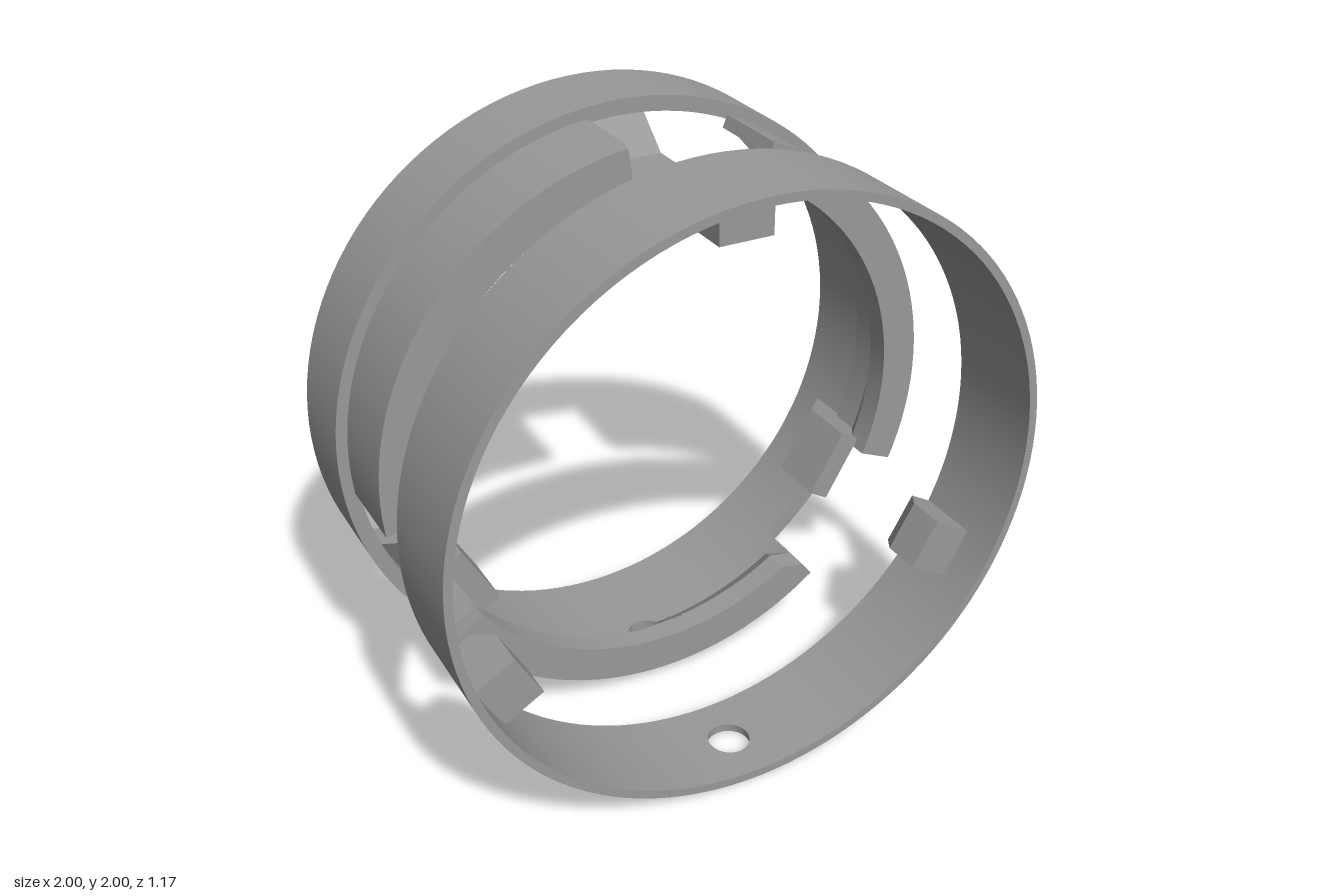
import * as THREE from 'three';
import { toCreasedNormals } from 'three/addons/utils/BufferGeometryUtils.js';

const CENTRE_Y = 1;
const rad = THREE.MathUtils.degToRad;
const material = new THREE.MeshStandardMaterial({ color: 0x999999 });

// Point on the ring from angle, radius and depth
const polar = (a, r, z) => [r * Math.cos(a), r * Math.sin(a), z];

// Skin a list of closed cross-sections, either looped or capped at both ends
function loft(sections, looped) {
  const m = sections[0].length, n = sections.length, index = [];
  for (let i = 0; i < (looped ? n : n - 1); i++) {
    const a = i * m, b = ((i + 1) % n) * m;
    for (let j = 0; j < m; j++) {
      const k = (j + 1) % m;
      index.push(a + j, b + j, a + k, b + j, b + k, a + k);
    }
  }
  if (!looped) {
    const e = (n - 1) * m;
    for (let j = 1; j < m - 1; j++) index.push(0, j, j + 1, e, e + j + 1, e + j);
  }
  const geo = new THREE.BufferGeometry();
  geo.setAttribute('position', new THREE.Float32BufferAttribute(sections.flat(2), 3));
  geo.setIndex(index);
  return toCreasedNormals(geo, 0.4);
}

// Sweep a [z, r] profile from angle a0 to a1, optionally chamfering the inner edge at a1
function sweep(profile, a0, a1, chamfer = 0) {
  const steps = Math.max(2, Math.ceil((a1 - chamfer - a0) / rad(3)));
  const rows = [];
  for (let i = 0; i <= steps; i++) {
    const a = a0 + (a1 - chamfer - a0) * i / steps;
    rows.push(profile.map(([z, r]) => polar(a, r, z)));
  }
  if (chamfer) rows.push(profile.map(([z, r]) => polar(a1, Math.max(r, 0.9), z)));
  return loft(rows, false);
}

// Curved wall patch with a round radial hole through it
function holePatch(a0, half, z0, z1, zc, holeR, outerR, innerR) {
  const rows = [], segs = 64, n = 20;
  for (let i = 0; i < segs; i++) {
    const t = i / segs * Math.PI * 2, c = Math.cos(t), s = Math.sin(t);
    const m = Math.max(Math.abs(c), Math.abs(s));
    const edgeA = c / m * half, edgeZ = s / m * (s > 0 ? z1 - zc : zc - z0);
    const inner = [], outer = [];
    for (let v = 0; v <= n; v++) {
      const f = v / n;
      const a = a0 + THREE.MathUtils.lerp(c * holeR, edgeA, f);
      const z = zc + THREE.MathUtils.lerp(s * holeR, edgeZ, f);
      inner.push(polar(a, innerR(z), z));
      outer.unshift(polar(a, outerR, z));
    }
    rows.push([...inner, ...outer]);
  }
  return loft(rows, true);
}

// Block with a [z, r] side outline, spanning x0 to x1 at the top of the ring
function block(outline, x0, x1) {
  const shape = new THREE.Shape(outline.map(([z, r]) => new THREE.Vector2(z, r)));
  const geo = new THREE.ExtrudeGeometry(shape, { depth: x1 - x0, bevelEnabled: false });
  geo.applyMatrix4(new THREE.Matrix4().makeBasis(
    new THREE.Vector3(0, 0, 1), new THREE.Vector3(0, 1, 0), new THREE.Vector3(-1, 0, 0)));
  return geo.translate(x1, 0, 0);
}

const ringProfile = (z0, z1, inner) => [[z1, 1], [z1, inner], [z0, inner], [z0, 1]];

export function createModel() {
  const model = new THREE.Group();
  const front = new THREE.Group(), back = new THREE.Group();
  front.name = 'frontRing';
  back.name = 'backRing';
  front.position.y = back.position.y = CENTRE_Y;
  model.add(front, back);
  const add = (parent, name, geo, turn = 0) => {
    const mesh = new THREE.Mesh(geo, material);
    mesh.name = name;
    mesh.rotation.z = turn;
    parent.add(mesh);
  };
  const down = -Math.PI / 2, half = 0.12;

  // Front ring with a radial hole at the bottom
  add(front, 'frontBand', sweep(ringProfile(0.235, 0.585, 0.972), down + half, down + Math.PI * 2 - half));
  add(front, 'frontBandHole', holePatch(down, half, 0.235, 0.585, 0.41, 0.07, 1, () => 0.972));

  // Back ring
  add(back, 'backBand', sweep(ringProfile(-0.585, -0.3, 0.95), 0, Math.PI * 2));

  // Collar section: thick lip at the front, sloping to a thinner rear
  const collar = [[-0.018, 0.963], [-0.018, 0.84], [-0.1, 0.84], [-0.2, 0.92], [-0.3, 0.92], [-0.3, 0.963]];
  const collarInner = z => 0.84 + 0.08 * THREE.MathUtils.clamp((-0.1 - z) / 0.1, 0, 1);
  const start = rad(-22.6), end = rad(67.4), chamfer = rad(4);

  // Cranked catch: flat tongue at the front, sloping out to the back ring's wall
  const catchOutline = [[-0.5, 0.97], [-0.27, 0.755], [-0.07, 0.755], [-0.07, 0.83], [-0.24, 0.83], [-0.4, 0.97]];
  // Cheek joins the catch to the end of the collar arc
  const cheekOutline = [[-0.48, 0.95], [-0.27, 0.755], [-0.07, 0.755], [-0.07, 0.95]];
  // Lug with a chamfered rear edge
  const lugOutline = [[0.24, 0.98], [0.24, 0.88], [0.32, 0.82], [0.45, 0.82], [0.45, 0.98]];

  for (let i = 0; i < 3; i++) {
    const turn = -i * Math.PI * 2 / 3;
    add(front, 'lug', block(lugOutline, -0.09, 0.085), turn);
    add(back, 'catch', block(catchOutline, -0.11, 0.1), turn);
    add(back, 'catchCheek', block(cheekOutline, -0.14, -0.11), turn);
    if (i === 1) {
      // Bottom collar arc is split around its hole
      const mid = down - turn;
      add(back, 'collarArc', sweep(collar, start, mid - half), turn);
      add(back, 'collarArc', sweep(collar, mid + half, end, chamfer), turn);
      add(back, 'collarHole', holePatch(mid, half, -0.3, -0.018, -0.17, 0.068, 0.963, collarInner), turn);
    } else {
      add(back, 'collarArc', sweep(collar, start, end, chamfer), turn);
    }
  }
  return model;
}
